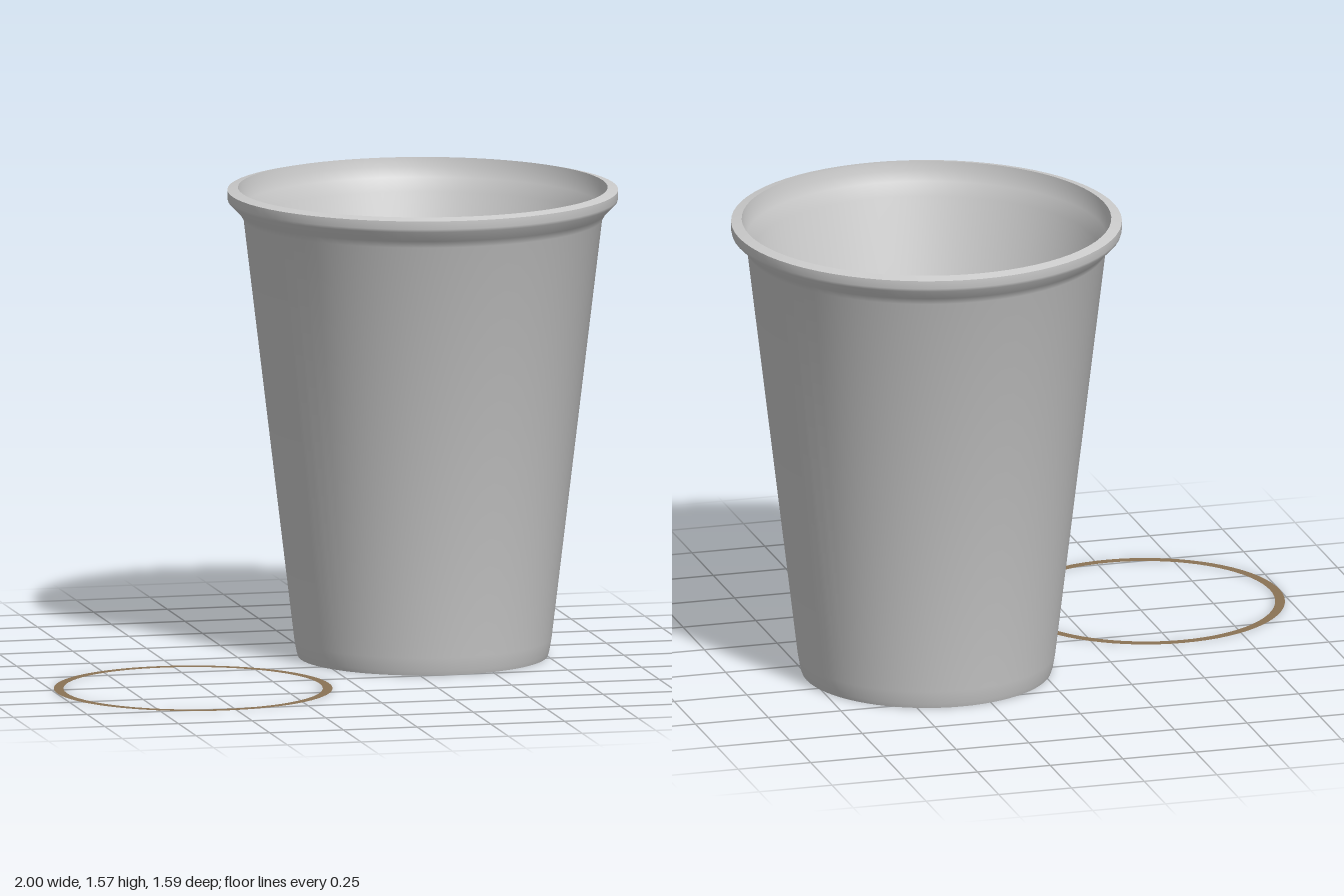
import * as THREE from 'three';
import { toCreasedNormals } from 'three/addons/utils/BufferGeometryUtils.js';

const SEGMENTS = 72;

function addPart(parent, name, geometry, material, x = 0, y = 0, z = 0) {
  const mesh = new THREE.Mesh(geometry, material);
  mesh.name = name;
  mesh.position.set(x, y, z);
  parent.add(mesh);
  return mesh;
}

export function createModel() {
  const model = new THREE.Group();
  model.name = 'cupAndStainRing';

  const grey = new THREE.MeshStandardMaterial({ color: 0xcccccc, side: THREE.DoubleSide });
  const brown = new THREE.MeshStandardMaterial({ color: 0x8b7355, side: THREE.DoubleSide });

  const cup = new THREE.Group();
  cup.name = 'cup';
  cup.position.set(0.355, 0, -0.155);
  model.add(cup);

  // Cup wall: closed base, tapered outside, flared lip, then down the inside
  const profile = [
    [0, 0], [0.412, 0], [0.417, 0.015], [0.425, 0.06],
    [0.592, 1.46], [0.605, 1.483], [0.642, 1.52], [0.645, 1.53],
    [0.645, 1.557], [0.61, 1.565],
    [0.606, 1.535], [0.595, 1.5], [0.572, 1.455],
    [0.406, 0.06], [0.395, 0.03], [0, 0.03],
  ].map(([r, y]) => new THREE.Vector2(r, y));
  const wall = toCreasedNormals(new THREE.LatheGeometry(profile, SEGMENTS), 0.75);
  addPart(cup, 'cupBody', wall, grey);

  // Drink surface inside the cup
  const drink = new THREE.CircleGeometry(0.506, SEGMENTS).rotateX(-Math.PI / 2);
  addPart(cup, 'drinkSurface', drink, brown, 0, 0.887, 0);

  // Flat stain ring lying on the ground beside the cup
  const ring = new THREE.RingGeometry(0.428, 0.46, SEGMENTS).rotateX(-Math.PI / 2);
  addPart(model, 'stainRing', ring, brown, -0.54, 0.002, 0.33);

  return model;
}
